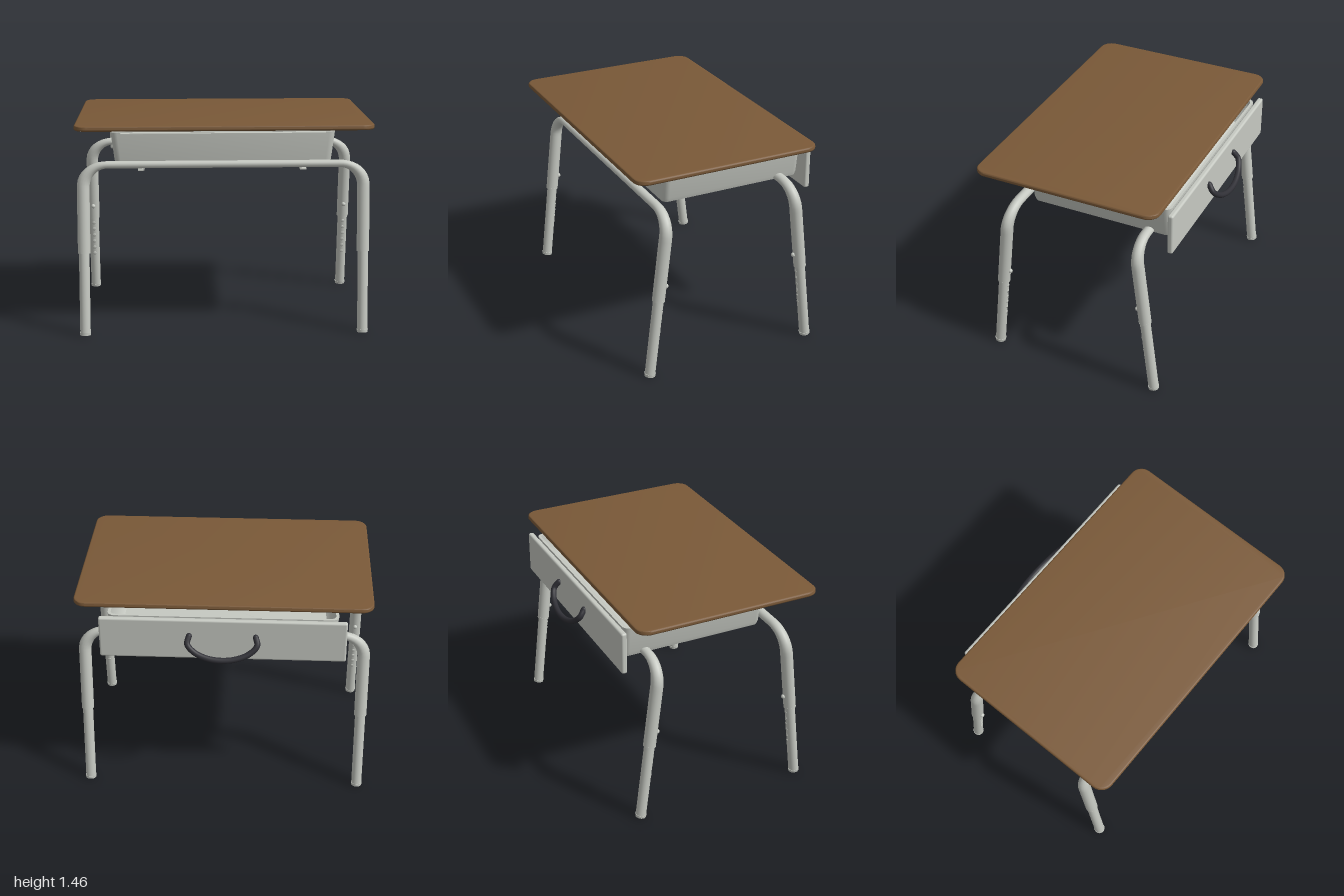
import * as THREE from 'three';
import { toCreasedNormals } from 'three/addons/utils/BufferGeometryUtils.js';
import { RoundedBoxGeometry } from 'three/addons/geometries/RoundedBoxGeometry.js';

const metal = new THREE.MeshStandardMaterial({ color: 0xc6c9c2 });
metal.name = 'greyMetal';
const wood = new THREE.MeshStandardMaterial({ color: 0x7a5938 });
wood.name = 'brownWood';
const black = new THREE.MeshStandardMaterial({ color: 0x303036 });
black.name = 'blackPlastic';

function add(parent, name, geometry, material, x = 0, y = 0, z = 0) {
  const mesh = new THREE.Mesh(geometry, material);
  mesh.name = name;
  mesh.position.set(x, y, z);
  parent.add(mesh);
  return mesh;
}

// Outline of a rounded rectangle, clockwise seen from above
function roundedRing(hx, hz, r, steps = 6) {
  const points = [];
  const signs = [[1, 1], [-1, 1], [-1, -1], [1, -1]];
  signs.forEach(([sx, sz], k) => {
    for (let i = 0; i <= steps; i++) {
      const a = (k + i / steps) * Math.PI / 2;
      points.push(new THREE.Vector2(sx * (hx - r) + r * Math.cos(a), sz * (hz - r) + r * Math.sin(a)));
    }
  });
  return points;
}

// Skin joining rounded rectangles, each given as [halfX, halfZ, radius, y]
function loft(rings) {
  const positions = [], index = [];
  let n = 0;
  rings.forEach(([hx, hz, r, y]) => {
    const ring = roundedRing(hx, hz, r);
    n = ring.length;
    ring.forEach((p) => positions.push(p.x, y, p.y));
  });
  for (let i = 0; i < rings.length - 1; i++) {
    for (let j = 0; j < n; j++) {
      const a = i * n + j, b = i * n + (j + 1) % n;
      index.push(a, a + n, b, b, a + n, b + n);
    }
  }
  const geometry = new THREE.BufferGeometry();
  geometry.setAttribute('position', new THREE.Float32BufferAttribute(positions, 3));
  geometry.setIndex(index);
  return toCreasedNormals(geometry, 0.7);
}

// Bent tube of a leg frame, flattened where it runs level
function bentTube() {
  const v = (x, y) => new THREE.Vector3(x, y, 0);
  const X = 0.955, low = 0.57, bend = 1.02, inner = 0.79, top = 1.17;
  const path = new THREE.CurvePath();
  path.add(new THREE.LineCurve3(v(-X, low), v(-X, bend)));
  path.add(new THREE.CubicBezierCurve3(v(-X, bend), v(-X, 1.105), v(-0.885, top), v(-inner, top)));
  path.add(new THREE.LineCurve3(v(-inner, top), v(inner, top)));
  path.add(new THREE.CubicBezierCurve3(v(inner, top), v(0.885, top), v(X, 1.105), v(X, bend)));
  path.add(new THREE.LineCurve3(v(X, bend), v(X, low)));
  const segments = 110, sides = 16;
  const geometry = new THREE.TubeGeometry(path, segments, 0.043, sides);
  const pos = geometry.attributes.position;
  const p = new THREE.Vector3();
  for (let i = 0; i <= segments; i++) {
    const centre = path.getPointAt(i / segments);
    const level = Math.abs(path.getTangentAt(i / segments).x);
    const scale = new THREE.Vector3(1, 1 - 0.42 * level, 1 - 0.15 * level);
    for (let j = 0; j <= sides; j++) {
      const k = i * (sides + 1) + j;
      p.fromBufferAttribute(pos, k).sub(centre).multiply(scale).add(centre);
      pos.setXYZ(k, p.x, p.y, p.z);
    }
  }
  return geometry;
}

// One frame: bent tube, two telescoping legs, feet and adjusting buttons
function legFrame(name, footZ, turn) {
  const frame = new THREE.Group();
  frame.name = name;
  frame.position.set(0, 0.005, footZ);
  frame.rotation.order = 'YXZ';
  frame.rotation.set(-0.119, turn, 0);
  add(frame, 'bentTube', bentTube(), metal);
  for (const x of [-0.955, 0.955]) {
    add(frame, 'lowerLeg', new THREE.CylinderGeometry(0.036, 0.036, 0.6, 20), metal, x, 0.31, 0);
    add(frame, 'legCollar', new THREE.CylinderGeometry(0.043, 0.043, 0.012, 20), metal, x, 0.572, 0);
    add(frame, 'foot', new THREE.CylinderGeometry(0.039, 0.037, 0.02, 20), metal, x, 0.01, 0);
    add(frame, 'adjustingButton', new THREE.SphereGeometry(0.016, 12, 8), metal, x, 0.668, -0.045);
    for (let i = 0; i < 6; i++) {
      const stud = add(frame, 'adjustingStop', new THREE.SphereGeometry(0.013, 10, 6), metal, x, 0.28 + i * 0.05, -0.035);
      stud.scale.z = 0.3;
    }
  }
  return frame;
}

export function createModel() {
  const desk = new THREE.Group();
  desk.name = 'schoolDesk';

  // Table top with rounded corners and edge
  const topShape = new THREE.Shape(roundedRing(0.988, 0.646, 0.075, 8));
  const topGeometry = new THREE.ExtrudeGeometry(topShape, {
    depth: 0.008, bevelThickness: 0.013, bevelSize: 0.012, bevelSegments: 4,
  });
  topGeometry.rotateX(Math.PI / 2);
  add(desk, 'tableTop', toCreasedNormals(topGeometry, 0.6), wood, 0, 1.45, 0.077);

  // Screw heads under the top
  for (const x of [-0.95, -0.6, -0.22, 0.21, 0.59, 0.95]) {
    for (const z of [0.67, 0.45, 0.23, -0.07, -0.29]) {
      if (Math.abs(x) < 0.9 && z < 0.6) continue;
      add(desk, 'screwHead', new THREE.CylinderGeometry(0.01, 0.007, 0.008, 10), metal, x, 1.426, z);
    }
  }

  // Open storage tray
  add(desk, 'tray', loft([
    [0.001, 0.001, 0, 1.14], [0.71, 0.48, 0.03, 1.14], [0.735, 0.503, 0.04, 1.15],
    [0.745, 0.508, 0.042, 1.18], [0.77, 0.51, 0.045, 1.375], [0.75, 0.492, 0.035, 1.375],
    [0.728, 0.488, 0.035, 1.19], [0.7, 0.46, 0.03, 1.16], [0.001, 0.001, 0, 1.16],
  ]), metal, 0, 0, -0.07);
  add(desk, 'trayLip', new THREE.BoxGeometry(1.4, 0.004, 0.05), metal, 0, 1.372, 0.455);

  // Rails beneath the tray
  for (const s of [-1, 1]) {
    add(desk, 'railWeb', new THREE.BoxGeometry(0.012, 0.062, 0.8), metal, s * 0.55, 1.111, -0.12);
    add(desk, 'railFlange', new THREE.BoxGeometry(0.04, 0.008, 0.82), metal, s * 0.57, 1.084, -0.12);
    add(desk, 'railTop', new THREE.BoxGeometry(0.09, 0.008, 0.82), metal, s * 0.57, 1.134, -0.12);
  }

  // Drawer panel with drooping handle
  add(desk, 'drawerPanel', new RoundedBoxGeometry(1.65, 0.297, 0.04, 3, 0.014), metal, 0, 1.2275, -0.606);
  const half = [[0.222, 1.26, -0.632], [0.232, 1.215, -0.665], [0.18, 1.165, -0.691], [0.095, 1.134, -0.709]];
  const path = new THREE.CatmullRomCurve3([
    ...half.map(([x, y, z]) => new THREE.Vector3(-x, y, z)),
    new THREE.Vector3(0, 1.124, -0.715),
    ...half.slice().reverse().map((p) => new THREE.Vector3(...p)),
  ]);
  add(desk, 'handle', new THREE.TubeGeometry(path, 48, 0.02, 12), black);
  for (const s of [-1, 1]) {
    add(desk, 'handleEnd', new THREE.SphereGeometry(0.02, 12, 8), black, s * 0.222, 1.26, -0.632);
  }

  // Leg frames
  desk.add(legFrame('frontLegFrame', 0.648, 0));
  desk.add(legFrame('backLegFrame', -0.563, Math.PI));
  return desk;
}
